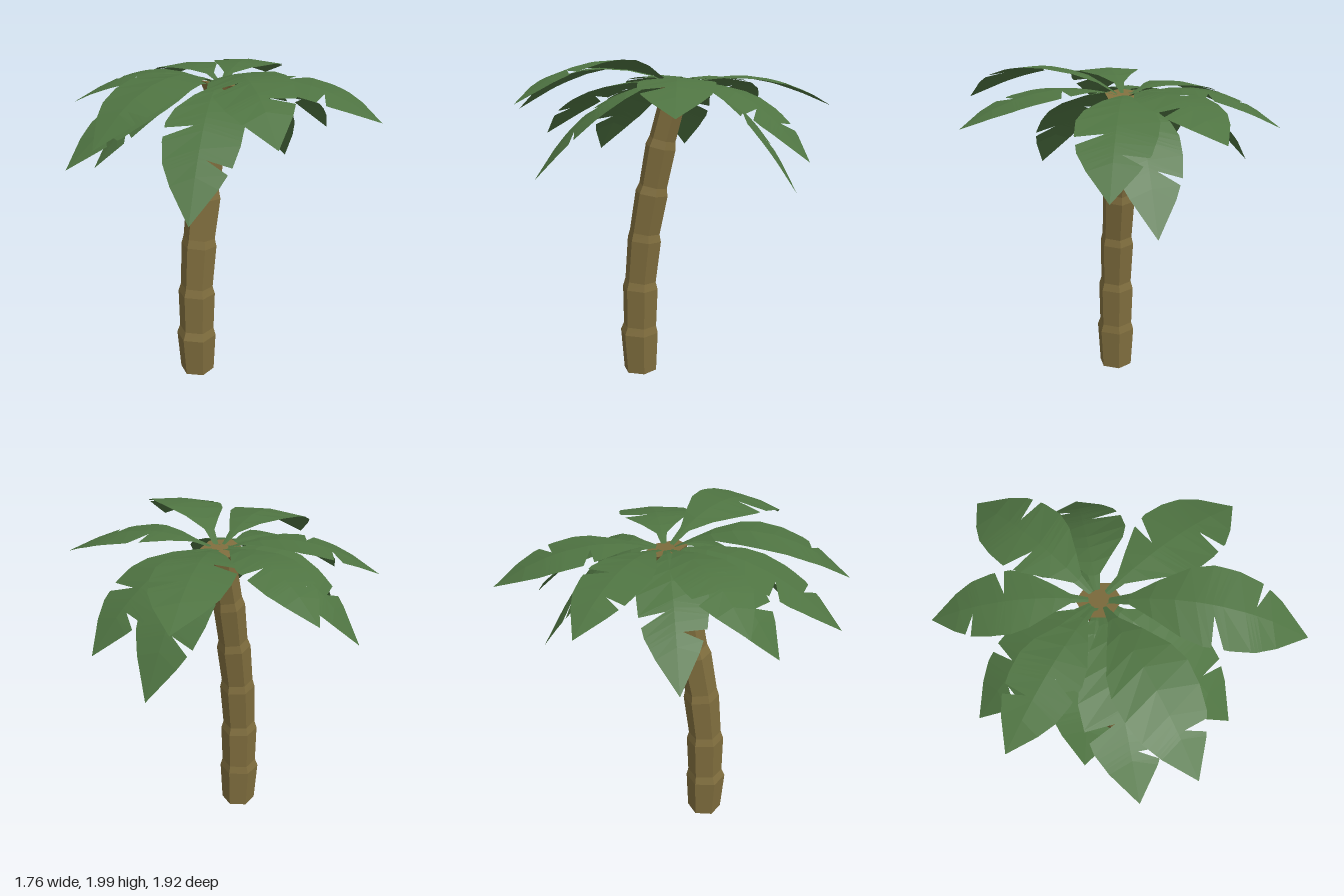
import * as THREE from 'three';

const bark = new THREE.MeshStandardMaterial({ color: 0x806e3e, flatShading: true });
const leaf = new THREE.MeshStandardMaterial({ color: 0x4f7442, flatShading: true, side: THREE.DoubleSide });
const CX = -0.065, CZ = -0.07; // crown centre

// Trunk: stacked flaring six-sided segments, each ring as [height, radius, z centre, tilt]
const RINGS = [
  [0, 0.108, 0.178, 0], [0.26, 0.125, 0.183, 0.02], [0.31, 0.109, 0.178, 0.03],
  [0.56, 0.116, 0.174, 0.05], [0.61, 0.101, 0.172, 0.08], [0.88, 0.109, 0.145, 0.1],
  [0.93, 0.097, 0.142, 0.13], [1.18, 0.103, 0.096, 0.16], [1.23, 0.088, 0.086, 0.2],
  [1.47, 0.094, 0.038, 0.22], [1.52, 0.081, 0.026, 0.24], [1.78, 0.079, -0.045, 0.27],
  [1.84, 0.122, -0.068, 0.22],
];

function makeTrunk() {
  const n = RINGS.length - 1;
  const geo = new THREE.CylinderGeometry(1, 1, 1, 6, n);
  const p = geo.attributes.position;
  for (let i = 0; i < p.count; i++) {
    const [h, r, z, tilt] = RINGS[Math.round((p.getY(i) + 0.5) * n)];
    const lz = p.getZ(i) * r;
    p.setXYZ(i, CX + p.getX(i) * r, h + lz * tilt, z + lz);
  }
  geo.computeVertexNormals();
  const mesh = new THREE.Mesh(geo, bark);
  mesh.name = 'trunk';
  return mesh;
}

// Half-width of a frond along its length
const OUTLINE = [[0, 0.015], [0.1, 0.03], [0.2, 0.1], [0.32, 0.18], [0.42, 0.21],
  [0.55, 0.205], [0.68, 0.18], [0.8, 0.125], [1, 0]];

function halfWidth(t) {
  const k = Math.max(1, OUTLINE.findIndex(([u]) => u >= t));
  const [t0, w0] = OUTLINE[k - 1], [t1, w1] = OUTLINE[k];
  return w0 + (w1 - w0) * (t - t0) / (t1 - t0);
}

// Frond: a ribbon bent along an arch, with a torn notch on each side
function makeFrond(tipX, tipY, tipZ, notchPlus, notchMinus, width = 1, lift = 0, roll = 0) {
  const dir = new THREE.Vector3(tipX - CX, 0, tipZ - CZ).normalize();
  const side = new THREE.Vector3(-dir.z, roll, dir.x);
  const base = new THREE.Vector3(CX, 1.85, CZ).addScaledVector(dir, 0.05);
  const tip = new THREE.Vector3(tipX, tipY, tipZ);
  const ctrl = base.clone().lerp(tip, 0.5).setY(1.55 + 0.26 * tipY + lift);
  const arch = new THREE.QuadraticBezierCurve3(base, ctrl, tip);

  const ts = OUTLINE.map(([t]) => t);
  for (const n of [notchPlus, notchMinus]) if (n) ts.push(n - 0.04, n, n + 0.02);
  const rows = [...new Set(ts)].sort((a, b) => a - b);

  const geo = new THREE.PlaneGeometry(1, 1, 2, rows.length - 1);
  const p = geo.attributes.position;
  for (let i = 0; i < p.count; i++) {
    const s = 1 - (i % 3), t = rows[Math.floor(i / 3)];
    const torn = t === (s > 0 ? notchPlus : notchMinus);
    const w = Math.abs(s) * halfWidth(t) * width * (torn ? 0.25 : 1);
    // edges sweep towards the tip and sag a little
    const v = arch.getPoint(Math.min(1, t + w * 0.3)).addScaledVector(side, s * w);
    p.setXYZ(i, v.x, v.y - w * 0.08, v.z);
  }
  geo.computeVertexNormals();
  const mesh = new THREE.Mesh(geo, leaf);
  mesh.name = 'frond';
  return mesh;
}

// Tip position, notch on either side, width factor, extra arch height, sideways roll
const FRONDS = [
  [-0.37, 1.72, -0.96, 0.62, 0.4],
  [0.19, 1.44, -0.88, 0.6, 0.74, 1.06],
  [-0.08, 1.21, -0.8, 0.5, 0.7, 1, 0, 0.08],
  [0.88, 1.72, -0.28, 0.64, 0.37],
  [0.8, 1.77, 0.59, 0.5, 0.7, 1, 0.15, -0.12],
  [-0.05, 1.69, 0.96, 0, 0.76, 1, 0.13],
  [-0.34, 1.51, 0.9, 0.6, 0.75],
  [0.34, 1.3, 0.7, 0.5, 0.7, 1.04],
  [-0.49, 1.4, 0.57, 0.45, 0.72, 1.03],
  [-0.87, 1.69, -0.44, 0.5, 0.7, 0.85],
  [-0.88, 1.4, 0.07, 0.6, 0.72, 0.88, 0.03, -0.12],
  [-0.83, 1.7, 0.4, 0.66, 0.5, 0.86],
];

export function createModel() {
  const model = new THREE.Group();
  model.name = 'palmTree';
  const crown = new THREE.Group();
  crown.name = 'crown';
  FRONDS.forEach((f) => crown.add(makeFrond(...f)));
  model.add(makeTrunk(), crown);
  return model;
}
